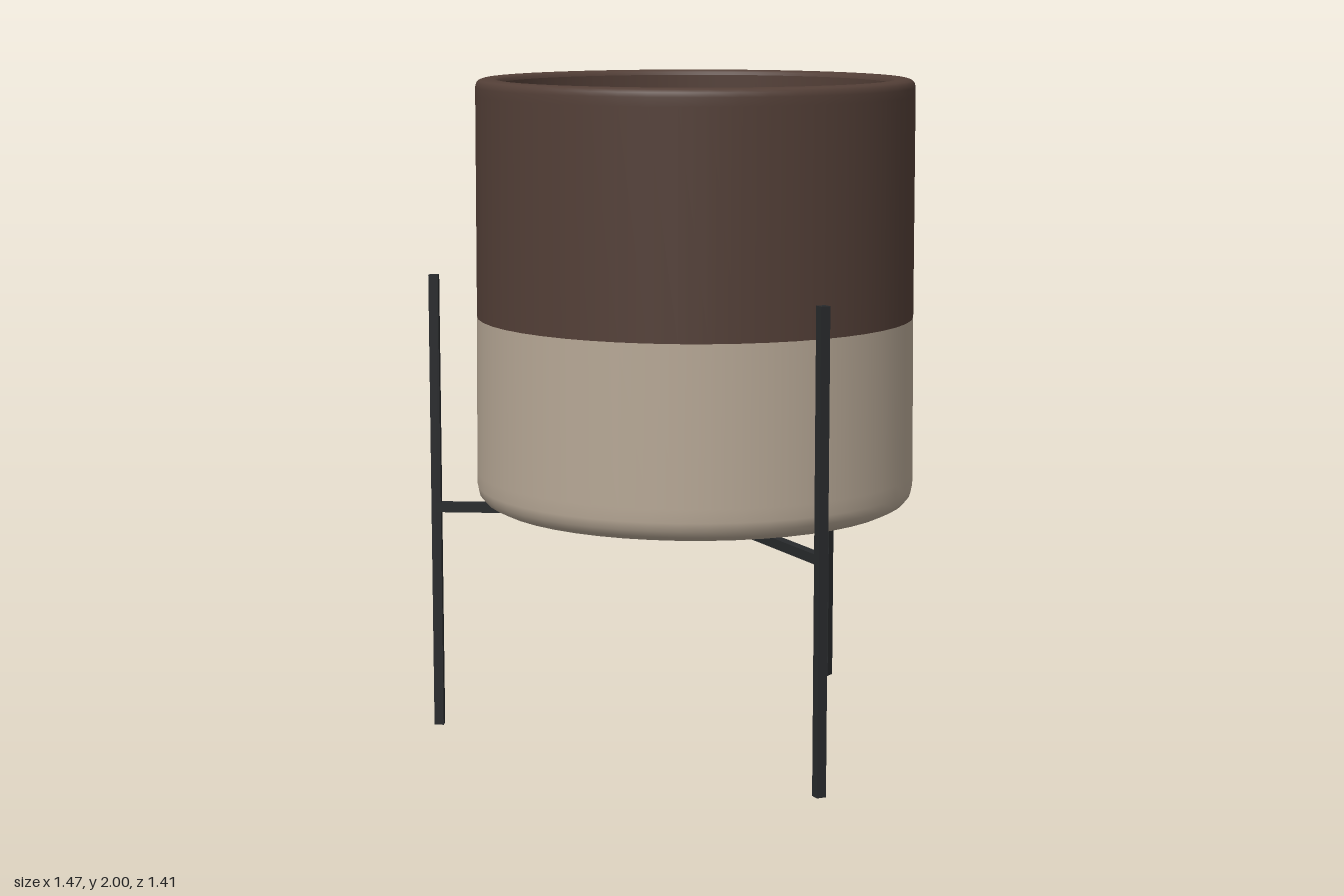
import * as THREE from 'three';

const SEGMENTS = 48;
const POT_X = 0.07, POT_Z = -0.047;

const brown = new THREE.MeshStandardMaterial({ color: 0x533f37 });
brown.name = 'brownGlaze';
const beige = new THREE.MeshStandardMaterial({ color: 0xb6a795 });
beige.name = 'beigeClay';
const black = new THREE.MeshStandardMaterial({ color: 0x282a2c });
black.name = 'blackMetal';

// Turned part from [radius, height] pairs, listed so that faces look outward
function lathe(name, profile, material) {
  const points = profile.map(([r, y]) => new THREE.Vector2(r, y));
  const mesh = new THREE.Mesh(new THREE.LatheGeometry(points, SEGMENTS), material);
  mesh.name = name;
  return mesh;
}

function box(name, w, h, d, x, y) {
  const mesh = new THREE.Mesh(new THREE.BoxGeometry(w, h, d), black);
  mesh.name = name;
  mesh.position.set(x, y, 0);
  return mesh;
}

export function createModel() {
  const model = new THREE.Group();
  model.name = 'planterOnStand';

  // Pot: clay lower body, glazed upper body, rim and hollow inside
  const pot = new THREE.Group();
  pot.name = 'pot';
  pot.position.set(POT_X, 0, POT_Z);
  pot.add(
    lathe('lowerBody', [
      [0, 0.703], [0.46, 0.705], [0.56, 0.711], [0.61, 0.72], [0.64, 0.735],
      [0.656, 0.755], [0.661, 0.78], [0.661, 0.82], [0.657, 1.29],
    ], beige),
    lathe('upperBody', [
      [0.657, 1.29], [0.655, 1.95], [0.655, 1.975], [0.652, 1.988], [0.645, 1.996], [0.632, 2], [0.61, 2],
      [0.596, 1.999], [0.588, 1.994], [0.585, 1.985],
    ], brown),
    lathe('innerWall', [[0.585, 1.985], [0.585, 0.83]], brown),
    lathe('innerFloor', [[0.585, 0.83], [0, 0.83]], brown),
  );
  model.add(pot);

  // Stand: three square legs joined to the centre by flat arms
  const stand = new THREE.Group();
  stand.name = 'stand';
  stand.position.set(POT_X, 0, POT_Z);
  const legDistance = 0.794, bar = 0.029;
  for (let i = 0; i < 3; i++) {
    const side = new THREE.Group();
    side.name = 'standSide' + (i + 1);
    side.rotation.y = -THREE.MathUtils.degToRad(66.8 + i * 120);
    side.add(
      box('leg', bar, 1.405, bar, legDistance, 0.7025),
      box('arm', legDistance, bar, bar, legDistance / 2, 0.688),
    );
    stand.add(side);
  }
  model.add(stand);

  return model;
}
